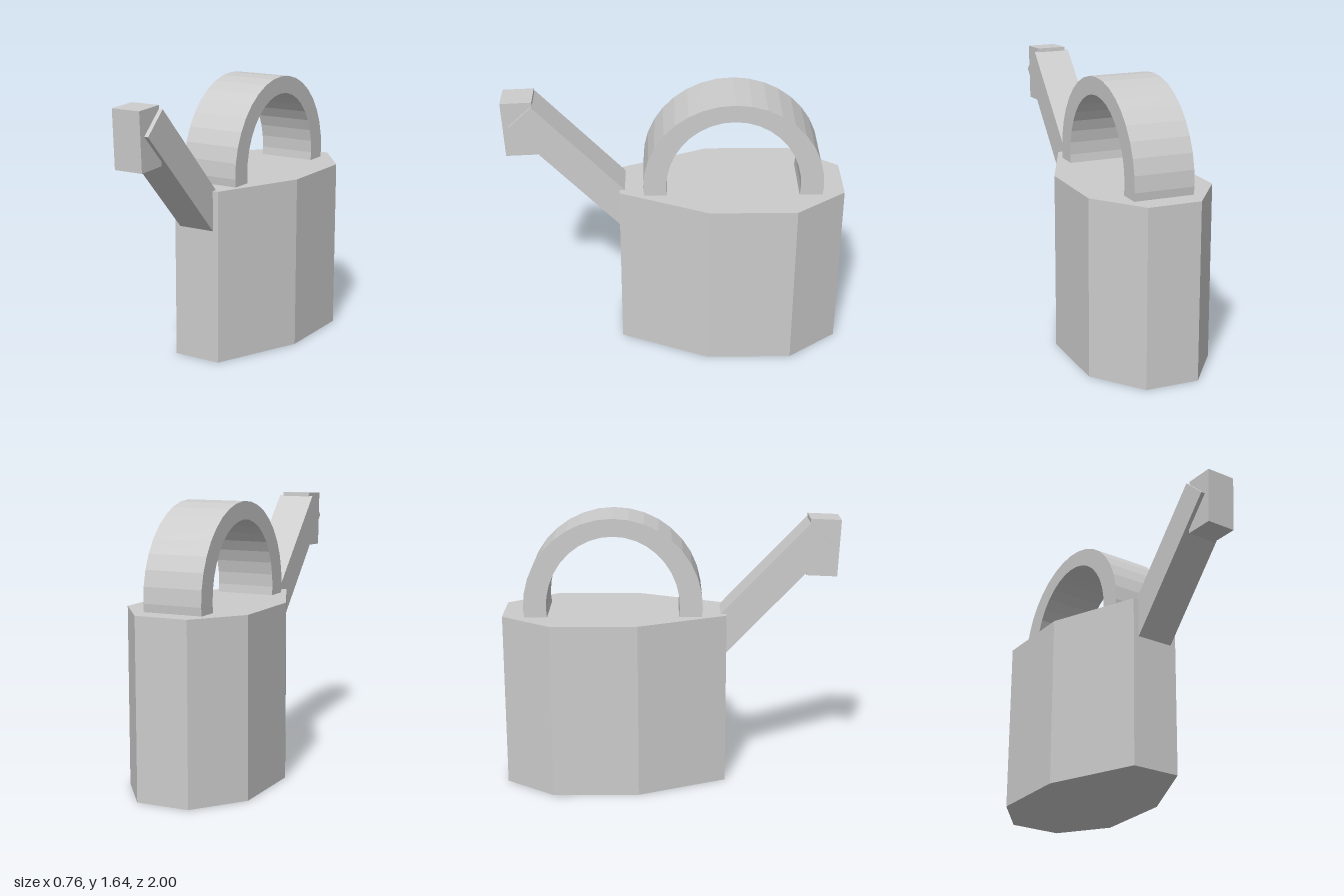
import * as THREE from 'three';

export function createModel() {
  const group = new THREE.Group();
  const material = new THREE.MeshStandardMaterial({ color: 0xcccccc, flatShading: true });
  const add = (name, geometry) => {
    const mesh = new THREE.Mesh(geometry, material);
    mesh.name = name;
    group.add(mesh);
    return mesh;
  };

  // Eight-sided body, outlined as (x, z) on the left half and mirrored
  const half = [[0.15, 0.33], [0.38, -0.195], [0.38, -0.705], [0.16, -1]];
  const outline = [...half, ...half.map(([x, z]) => [-x, z]).reverse()];
  const bodyShape = new THREE.Shape(outline.map(([x, z]) => new THREE.Vector2(x, -z)));
  const bodyGeometry = new THREE.ExtrudeGeometry(bodyShape, { depth: 1.05, bevelEnabled: false });
  add('body', bodyGeometry.rotateX(-Math.PI / 2));

  // Arched handle, thinner at the top, with its feet set into the body
  const sink = 0.2;
  const arch = new THREE.Shape();
  arch.absellipse(0, 0, 0.53, 0.53, -sink, Math.PI + sink, false);
  arch.absellipse(0, 0, 0.395, 0.425, Math.PI + sink, -sink, true);
  const handleGeometry = new THREE.ExtrudeGeometry(arch, {
    depth: 0.36, bevelEnabled: false, curveSegments: 10,
  });
  const handle = add('handle', handleGeometry.translate(0, 0, -0.18).rotateY(Math.PI / 2));
  handle.position.set(0, 1.11, -0.342);

  // Slanted spout; its origin is the centre of the outer end
  const spout = add('spout', new THREE.BoxGeometry(0.23, 0.19, 1.05).translate(0, 0, -0.525));
  spout.position.set(0, 1.535, 0.89);
  spout.rotation.x = -0.81;

  // Block at the tip of the spout, tilted slightly forward
  const head = add('spoutHead', new THREE.BoxGeometry(0.18, 0.34, 0.182));
  head.position.set(0, 1.447, 0.902);
  head.rotation.x = 0.045;

  return group;
}
